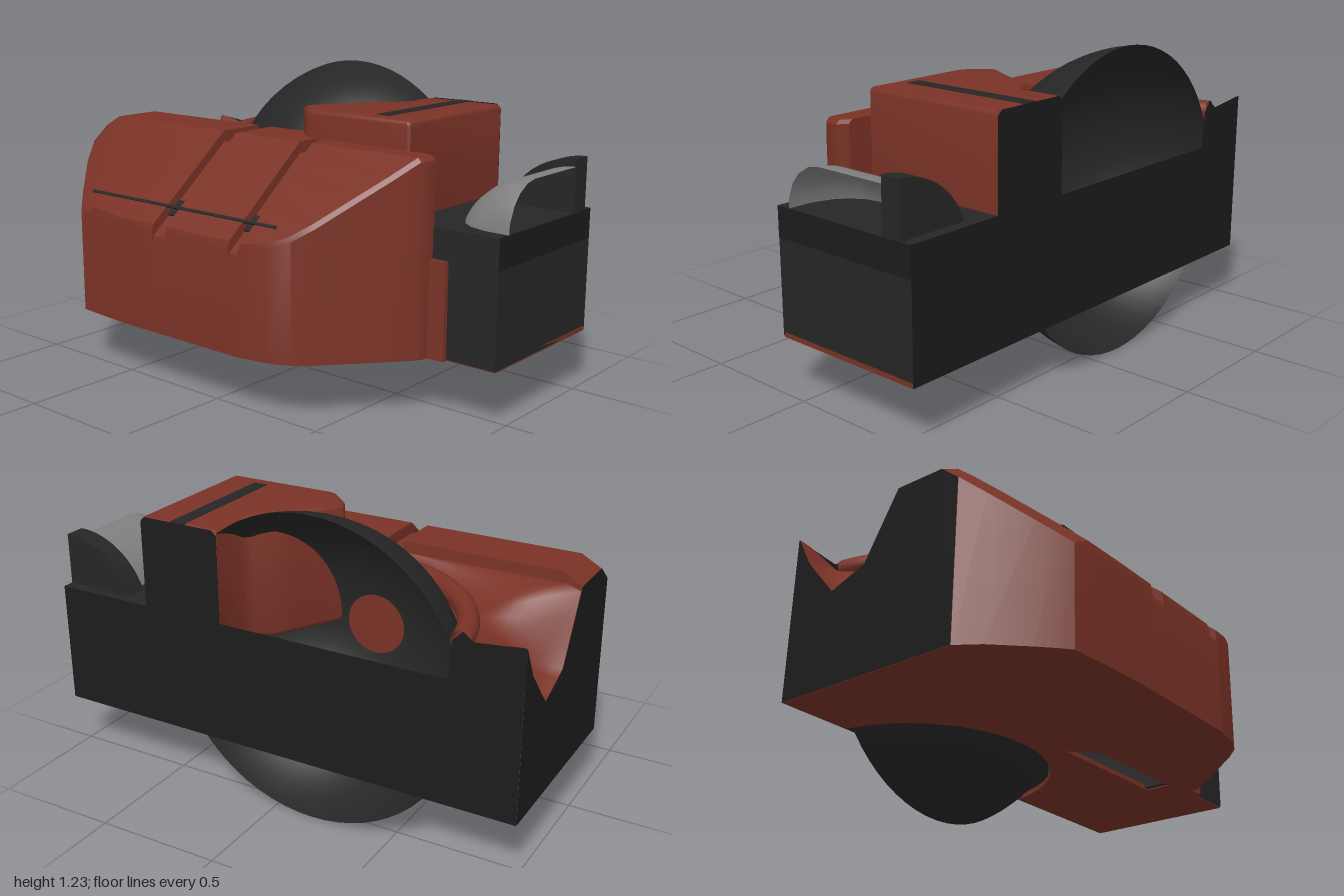
import * as THREE from 'three';
import { toCreasedNormals } from 'three/addons/utils/BufferGeometryUtils.js';

export function createModel() {
  const group = new THREE.Group();
  const mat = (name, color) => {
    const m = new THREE.MeshStandardMaterial({ color, side: THREE.DoubleSide });
    m.name = name;
    return m;
  };
  const red = mat('rust red', 0x7a3226);
  const charcoal = mat('charcoal', 0x262626);
  const black = mat('section black', 0x1c1c1c);
  const grey = mat('roller grey', 0x808080);

  const add = (name, geo, m) => {
    const mesh = new THREE.Mesh(geo, m);
    mesh.name = name;
    group.add(mesh);
    return mesh;
  };
  // box given by its min and max corners
  const box = (name, m, x0, x1, y0, y1, z0, z1) => {
    const b = add(name, new THREE.BoxGeometry(x1 - x0, y1 - y0, z1 - z0), m);
    b.position.set((x0 + x1) / 2, (y0 + y1) / 2, (z0 + z1) / 2);
    return b;
  };
  const polygon = (pts) => new THREE.Shape(pts.map(([x, y]) => new THREE.Vector2(x, y)));

  const BOTTOM = 0.23, BACK = -0.57;
  const BX = -0.16, BY = 0.615, BZ = -0.657, BR = 0.62;

  // --- Main shell: columns across x, lofted along z, with two roof grooves
  const grooves = [[-0.275, -0.205], [0.135, 0.195]];
  const roof = (z) => (z <= 0.16 ? 0.99 : 0.99 - 0.8 * (z - 0.16));
  // z, left x, right x, optional extra drop of the roof
  const rows = [
    [-0.05, -0.998, 0.0], [0.06, -0.998, 0.1], [0.065, -0.998, 0.68], [0.09, -0.998, 0.72],
    [0.14, -0.998, 0.715], [0.16, -0.998, 0.705], [0.24, -0.998, 0.64], [0.33, -0.94, 0.56],
    [0.45, -0.83, 0.455], [0.51, -0.77, 0.39], [0.545, -0.73, 0.31], [0.56, -0.55, 0.22],
    [0.568, -0.4, 0.2, 0.025],
  ];
  const sections = rows.map(([z, xl, xr, drop = 0]) => {
    const top = roof(z) - drop;
    const cols = [[xl, top - 0.045], [xl + 0.08, top]];
    for (const [a, b] of grooves) {
      cols.push([a, top], [a, top - 0.045], [b, top - 0.045], [b, top]);
    }
    cols.push([xr - 0.015, top], [xr, top - 0.015]);
    return cols.map(([x, y]) => [Math.min(x, xr), y, z]);
  });
  const pos = [];
  const quad = (a, b, c, d) => pos.push(...a, ...b, ...c, ...a, ...c, ...d);
  const low = ([x, , z]) => [x, BOTTOM, z];
  const n = sections[0].length;
  for (let j = 0; j < sections.length - 1; j++) {
    const p = sections[j], q = sections[j + 1];
    for (let i = 0; i < n - 1; i++) {
      quad(p[i], q[i], q[i + 1], p[i + 1]);
      quad(low(p[i]), low(p[i + 1]), low(q[i + 1]), low(q[i]));
    }
    quad(low(p[0]), low(q[0]), q[0], p[0]);
    quad(low(q[n - 1]), low(p[n - 1]), p[n - 1], q[n - 1]);
  }
  const first = sections[0], last = sections[sections.length - 1];
  for (let i = 0; i < n - 1; i++) {
    quad(low(last[i]), low(last[i + 1]), last[i + 1], last[i]);
    quad(low(first[i + 1]), low(first[i]), first[i], first[i + 1]);
  }
  const shell = new THREE.BufferGeometry();
  shell.setAttribute('position', new THREE.Float32BufferAttribute(pos, 3));
  add('mainShell', toCreasedNormals(shell, 0.45), red);

  // --- Seam line and groove clips on the sloping front
  const tilt = Math.atan(0.8);
  const seam = box('seamLine', charcoal, -0.72, 0.3, 0.727, 0.735, 0.478, 0.49);
  seam.rotation.x = tilt;
  for (const [a, b] of grooves) {
    const clip = box('grooveClip', charcoal, a, b, 0.713, 0.722, 0.412, 0.488);
    clip.rotation.x = tilt;
  }

  // --- Base plate with a round opening for the ball
  const basePlan = new THREE.Shape();
  basePlan.moveTo(-0.998, BACK);
  basePlan.lineTo(BX - 0.52, BACK);
  basePlan.absarc(BX, BZ, 0.53, Math.PI - 0.165, 0.165, true);
  basePlan.lineTo(1, BACK);
  basePlan.lineTo(1, 0.09);
  basePlan.lineTo(0.6, 0.09);
  basePlan.lineTo(0.6, -0.04);
  basePlan.lineTo(-0.998, -0.04);
  const base = new THREE.ExtrudeGeometry(basePlan, { depth: 0.02, bevelEnabled: false, curveSegments: 32 });
  base.rotateX(Math.PI / 2).translate(0, BOTTOM + 0.02, 0);
  add('basePlate', base, red);

  // --- Ball, open at the back
  const ball = new THREE.SphereGeometry(BR, 64, 32, 0, Math.PI * 2, 0, Math.acos((BACK - BZ) / BR));
  add('ball', ball.rotateX(Math.PI / 2).translate(BX, BY, BZ), charcoal);

  // --- Collar ring round the ball
  const ring = new THREE.TorusGeometry(0.61, 0.04, 12, 48, 1.95).rotateZ(1.05);
  add('collarRing', ring.rotateX(Math.PI / 2).translate(BX, 0.885, BZ), red);

  // --- Hollowed deck between collar, side and roof
  const sideProfile = [[-0.57, 0.91], [-0.5, 0.78], [-0.36, 0.62], [-0.2, 0.68], [-0.05, 0.945]];
  const sideHeight = (z) => {
    for (let i = 1; i < sideProfile.length; i++) {
      const [z0, y0] = sideProfile[i - 1], [z1, y1] = sideProfile[i];
      if (z <= z1) return THREE.MathUtils.mapLinear(z, z0, z1, y0, y1);
    }
    return 0.945;
  };
  const deck = new THREE.PlaneGeometry(1, 1, 12, 40);
  const dp = deck.attributes.position;
  for (let i = 0; i < dp.count; i++) {
    const u = dp.getX(i) + 0.5, v = dp.getY(i) + 0.5;
    const inner = 0.1 + v * 1.6;
    const t = THREE.MathUtils.lerp(inner, Math.max(inner, 0.104), u);
    const c = Math.cos(t), s = Math.sin(t);
    const outer = Math.min(0.838 / Math.max(c, 0.01), 0.607 / s);
    const r = THREE.MathUtils.lerp(0.59, Math.max(outer, 0.6), u);
    const z = Math.max(BZ + r * s, BACK);
    const edge = sideHeight(BZ + outer * s);
    dp.setXYZ(i, BX - r * c, THREE.MathUtils.lerp(0.86, edge, u * u * (3 - 2 * u)), z);
  }
  deck.computeVertexNormals();
  add('hollowDeck', deck, red);

  // --- Raised top block with its slot
  const blockPlan = polygon([[0.23, BACK], [0.23, -0.4], [0.21, -0.37], [0.14, -0.32], [0.1, -0.25],
    [-0.01, -0.05], [0.0, -0.02], [0.08, 0.055], [0.11, 0.065], [0.57, 0.065], [0.58, 0.055], [0.58, BACK]]);
  const block = new THREE.ExtrudeGeometry(blockPlan, {
    depth: 0.46, bevelSize: 0.02, bevelThickness: 0.02, bevelOffset: -0.02, bevelSegments: 3,
  });
  block.rotateX(Math.PI / 2).translate(0, 1.08, 0);
  add('topBlock', toCreasedNormals(block, 0.6), red);
  box('topSlot', charcoal, 0.38, 0.44, 1.094, 1.102, BACK, 0.0);

  // --- Side housing, red filler, bracket and roller
  box('sideHousing', charcoal, 0.58, 1, 0.235, 0.73, BACK, 0.095);
  box('housingBand', black, 0.994, 1.001, 0.61, 0.73, BACK, 0.095);
  box('sideFiller', red, 0.6, 0.79, BOTTOM, 0.61, -0.1, 0.115);

  const quarter = new THREE.Shape();
  quarter.moveTo(1, 0.62);
  quarter.lineTo(1, 0.94);
  quarter.absarc(1, 0.62, 0.32, Math.PI / 2, Math.PI, false);
  const bracket = new THREE.ExtrudeGeometry(quarter, { depth: 0.085, bevelEnabled: false, curveSegments: 20 });
  add('rollerBracket', bracket.translate(0, 0, -0.525), charcoal);

  const rollerProfile = [[0.29, -0.45], [0.29, -0.13], [0.28, -0.08], [0.25, -0.03], [0.21, 0.005], [0.15, 0.03], [0, 0.04]]
    .map(([r, z]) => new THREE.Vector2(r, z));
  const roller = new THREE.LatheGeometry(rollerProfile, 20, Math.PI, Math.PI / 2);
  add('roller', roller.rotateX(Math.PI / 2).translate(1, 0.62, 0), grey);

  // --- Flat cut faces at the back and the right side
  const backCut = polygon([[-1, BOTTOM], [1, BOTTOM], [1, 0.73], [0.58, 0.73], [0.58, 1.08], [0.56, 1.1],
    [0.25, 1.1], [0.23, 1.08], [0.23, 0.73], [-0.72, 0.73], [-0.73, 0.88], [-0.77, 0.92], [-0.81, 0.89], [-1, 0.91]]);
  add('backCutFace', new THREE.ShapeGeometry(backCut).translate(0, 0, BACK - 0.002), black);

  const sideCut = polygon([[0.57, BOTTOM], [-0.24, BOTTOM], [-0.24, 0.88], [-0.16, 0.945],
    ...sideProfile.slice().reverse().map(([z, y]) => [-z, y])]);
  add('sideCutFace', new THREE.ShapeGeometry(sideCut).rotateY(Math.PI / 2).translate(-1, 0, 0), black);

  return group;
}
